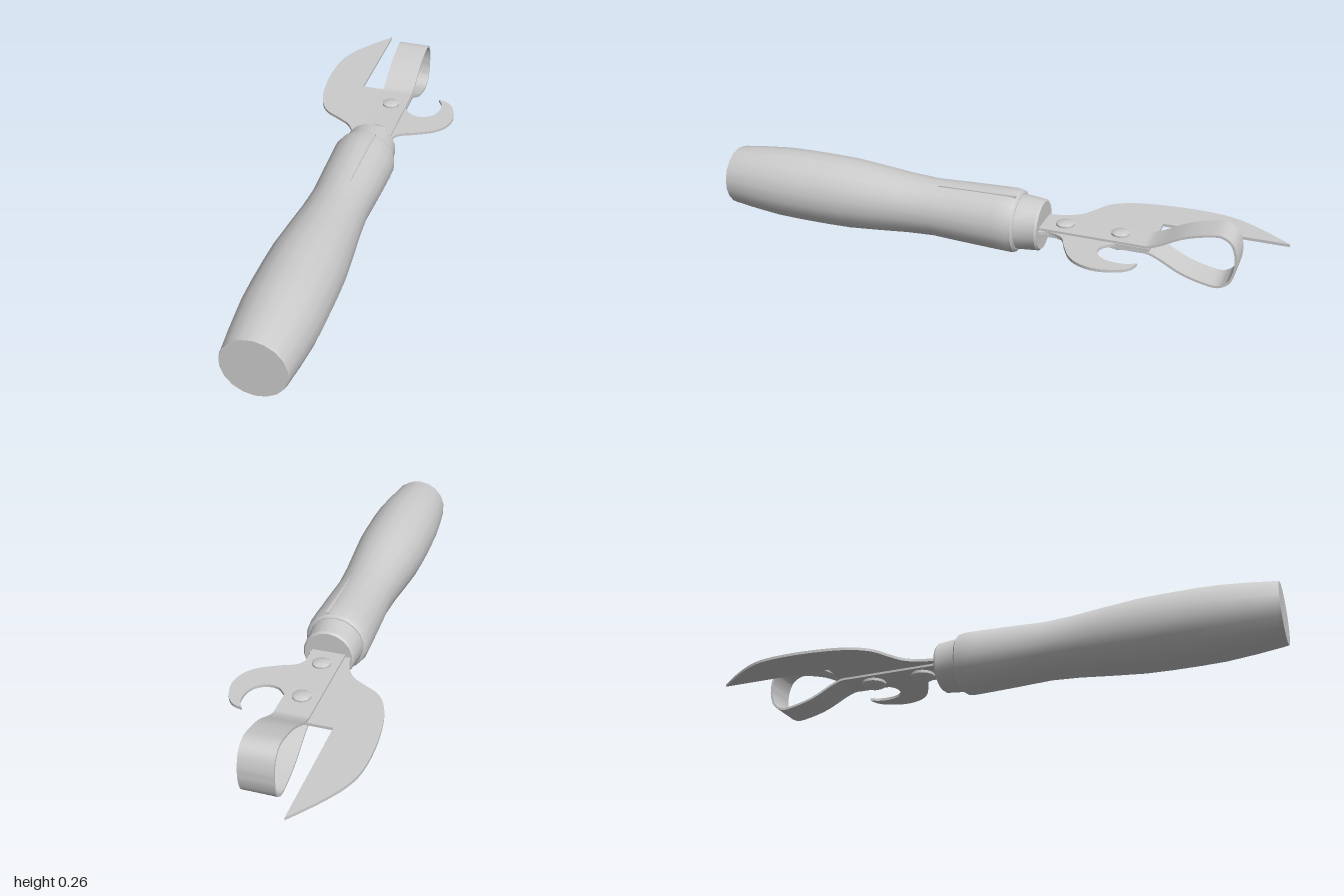
import * as THREE from 'three';
import { toCreasedNormals } from 'three/addons/utils/BufferGeometryUtils.js';

const CX = 0.024, CY = 0.131; // handle axis
const grey = new THREE.MeshStandardMaterial({ color: 0xcccccc });

function part(name, geometry, x = 0, y = 0, z = 0, crease = 0.6) {
  const mesh = new THREE.Mesh(toCreasedNormals(geometry, crease), grey);
  mesh.name = name;
  mesh.position.set(x, y, z);
  return mesh;
}

// Profile of [radius, z] turned about the z axis
function turned(profile, sides) {
  return new THREE.LatheGeometry(profile.map(([r, z]) => new THREE.Vector2(r, z)), sides).rotateX(Math.PI / 2);
}

// Flat plate with the cutting blade on one side and the hook on the other; shape y runs towards -z
function plateGeometry() {
  const s = new THREE.Shape();
  const curve = (...pts) => s.splineThru(pts.map(([x, y]) => new THREE.Vector2(x, y)));
  s.moveTo(-0.05, 0.1);
  s.lineTo(0.09, 0.1);
  s.lineTo(0.09, 0.2);
  curve([0.078, 0.23], [0.1, 0.28], [0.16, 0.31], [0.22, 0.345], [0.255, 0.39], [0.267, 0.45], [0.25, 0.515], [0.222, 0.55], [0.186, 0.562]);
  curve([0.203, 0.53], [0.205, 0.485], [0.19, 0.445], [0.155, 0.422], [0.115, 0.425], [0.08, 0.46]);
  s.lineTo(0.08, 0.575);
  s.lineTo(-0.12, 0.575);
  s.lineTo(-0.12, 1);
  curve([-0.19, 0.905], [-0.24, 0.82], [-0.264, 0.74], [-0.269, 0.62], [-0.257, 0.5], [-0.235, 0.42], [-0.2, 0.365], [-0.145, 0.33], [-0.1, 0.3], [-0.07, 0.255], [-0.055, 0.2]);
  s.closePath();
  return new THREE.ExtrudeGeometry(s, { depth: 0.01, bevelEnabled: false, curveSegments: 24 }).rotateX(-Math.PI / 2);
}

// Bent strip: a centre line thickened both ways, then given its width along x
function stripGeometry(thickness, width) {
  const upper = [[0.6, 0.022], [0.68, 0.063], [0.75, 0.084], [0.805, 0.09], [0.838, 0.07], [0.853, 0.035]];
  const flat = [[0.54, 0.01], [0.565, 0.01]];
  const half = [...flat, ...upper];
  const mirror = half.map(([u, v]) => [u, -v]).reverse();
  const loop = new THREE.CatmullRomCurve3(
    [...half, [0.857, 0], ...mirror].map(([u, v]) => new THREE.Vector3(u, v, 0)), false, 'centripetal');
  const line = [new THREE.Vector3(0.12, 0.01, 0), ...loop.getPoints(64), new THREE.Vector3(0.12, -0.01, 0)];
  const offset = (side) => line.map((p, i) => {
    const a = line[Math.max(i - 1, 0)], b = line[Math.min(i + 1, line.length - 1)];
    const d = b.clone().sub(a).normalize();
    return new THREE.Vector2(p.x - d.y * side, p.y + d.x * side);
  });
  const shape = new THREE.Shape([...offset(thickness / 2), ...offset(-thickness / 2).reverse()]);
  return new THREE.ExtrudeGeometry(shape, { depth: width, bevelEnabled: false }).rotateY(Math.PI / 2);
}

export function createModel() {
  const group = new THREE.Group();

  // Wooden grip with a swelling at the back and a rounded front shoulder
  group.add(part('handle', turned([
    [0, -0.115], [0.1, -0.115], [0.108, -0.108], [0.112, -0.09], [0.111, -0.04], [0.107, 0.08], [0.102, 0.2],
    [0.107, 0.3], [0.118, 0.42], [0.127, 0.53], [0.129, 0.62], [0.129, 0.72], [0.127, 0.8],
    [0.118, 0.9], [0.108, 0.985], [0.105, 1], [0, 1],
  ], 18), CX, CY));

  // Ferrule
  group.add(part('ferrule', turned([
    [0, -0.195], [0.084, -0.195], [0.09, -0.188], [0.097, -0.11], [0, -0.11],
  ], 18), CX, CY));

  // Tapering seam along the top of the grip
  const seam = new THREE.Shape([[-0.006, 0.105], [0.006, 0.105], [0.001, -0.18], [-0.001, -0.18]].map(p => new THREE.Vector2(...p)));
  const seamGeometry = new THREE.ExtrudeGeometry(seam, { depth: 0.03, bevelEnabled: false }).rotateX(-Math.PI / 2);
  const sp = seamGeometry.attributes.position;
  for (let i = 0; i < sp.count; i++) sp.setY(i, sp.getY(i) - 0.03 * Math.max(0, sp.getZ(i) + 0.1));
  group.add(part('handleSeam', seamGeometry, 0.058, CY + 0.079, 0));

  group.add(part('bladePlate', plateGeometry(), 0, CY - 0.005, 0));
  group.add(part('guideLoop', stripGeometry(0.008, 0.115), -0.036, CY, 0));

  // Rivets: domed head above, wider head below
  for (const z of [-0.27, -0.463]) {
    const rivet = turned([[0, -0.036], [0.028, -0.033], [0.043, -0.024], [0.043, -0.014],
      [0.02, -0.012], [0.02, 0.012], [0.031, 0.013], [0.031, 0.02], [0.024, 0.025], [0, 0.027]], 20).rotateX(-Math.PI / 2);
    group.add(part('rivet', rivet, 0.022, CY, z));
  }
  return group;
}
